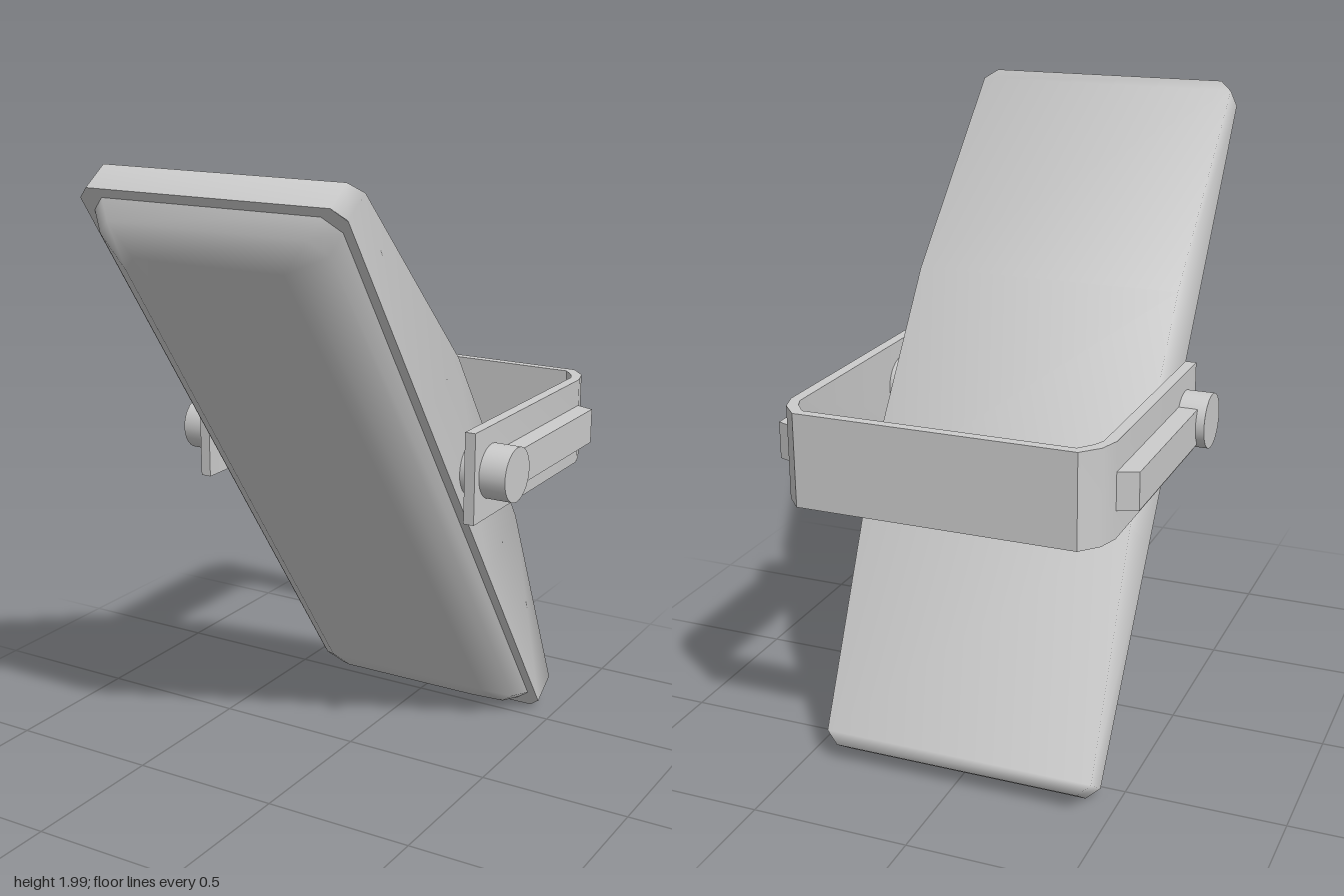
import * as THREE from 'three';
import { toCreasedNormals } from 'three/addons/utils/BufferGeometryUtils.js';

const grey = new THREE.MeshStandardMaterial({ color: 0xcccccc });

function part(name, geometry, parent) {
  const mesh = new THREE.Mesh(geometry, grey);
  mesh.name = name;
  parent.add(mesh);
  return mesh;
}

// Skins a list of equal-length rings (counter-clockwise about the loft axis) with smooth normals.
function loft(rings, { closed = true, startCap = true, endCap = true } = {}) {
  const n = rings[0].length;
  const index = [];
  for (let k = 0; k < rings.length - 1; k++) {
    for (let i = 0; i < (closed ? n : n - 1); i++) {
      const a = k * n + i, b = k * n + (i + 1) % n;
      index.push(a, b, b + n, a, b + n, a + n);
    }
  }
  const last = (rings.length - 1) * n;
  for (let i = 1; i < n - 1; i++) {
    if (startCap) index.push(0, i + 1, i);
    if (endCap) index.push(last, last + i, last + i + 1);
  }
  const g = new THREE.BufferGeometry();
  g.setAttribute('position', new THREE.Float32BufferAttribute(rings.flat(2), 3));
  g.setIndex(index);
  g.computeVertexNormals();
  return g;
}

// Rectangle with cut corners, counter-clockwise.
function cutRect(w, h, c) {
  return [[w, -h + c], [w, h - c], [w - c, h], [-w + c, h],
    [-w, h - c], [-w, -h + c], [-w + c, -h], [w - c, -h]];
}

const toShape = (pts) => new THREE.Shape(pts.map(([x, y]) => new THREE.Vector2(x, y)));

export function createModel() {
  const model = new THREE.Group();
  model.name = 'tiltedPanelOnBracket';

  // Tilted housing
  const housing = new THREE.Group();
  housing.name = 'housing';
  housing.position.set(0, 0.975, 0.095);
  housing.rotation.x = 0.61;
  model.add(housing);

  // Back shell: [height, half width, depth]
  const stations = [[-1.178, 0.40, 0.10], [-1.14, 0.44, 0.107], [-0.377, 0.44, 0.242],
    [0.377, 0.44, 0.242], [1.14, 0.44, 0.107], [1.178, 0.40, 0.10]];
  part('backShell', loft(
    stations.map(([y, w, d]) => [[w, y, 0], [w, y, -d], [-w, y, -d], [-w, y, 0]]),
    { closed: false }), housing);
  part('frontRim', new THREE.ShapeGeometry(toShape(cutRect(0.44, 1.178, 0.04))), housing);

  // Raised front cover: [half width, half height, z]
  const steps = [[0.41, 1.145, 0], [0.38, 1.105, 0.05], [0.30, 1.02, 0.10]];
  part('frontCover', loft(
    steps.map(([w, h, z]) => cutRect(w, h, 0.05).map(([x, y]) => [x, y, z])),
    { startCap: false }), housing);

  // U-shaped bracket, drawn from above with -z as the shape's y
  const outer = [[0.505, -0.12], [0.505, 0.655], [0.485, 0.72], [0.435, 0.775]];
  const inner = [[0.47, -0.12], [0.47, 0.665], [0.455, 0.70], [0.42, 0.743]];
  const mirrored = (pts) => pts.map(([x, y]) => [-x, y]).reverse();
  const outline = [...outer, ...mirrored(outer),
    ...mirrored(inner).reverse(), ...inner.slice().reverse()];
  const band = new THREE.ExtrudeGeometry(toShape(outline), { depth: 0.29, bevelEnabled: false });
  band.rotateX(-Math.PI / 2).translate(0, 0.91, 0);
  part('bracket', toCreasedNormals(band, 0.75), model);

  // Arm ribs and pivot knobs on both sides
  for (const [side, s] of [['left', 1], ['right', -1]]) {
    const rib = new THREE.ExtrudeGeometry(
      toShape([[0.50, 0.055], [0.565, 0.065], [0.565, 0.63], [0.50, 0.655]].map(([x, y]) => [s * x, y])),
      { depth: 0.115, bevelEnabled: false });
    rib.rotateX(-Math.PI / 2).translate(0, 0.995, 0);
    part(side + 'ArmRib', rib, model);

    const knob = new THREE.CylinderGeometry(0.087, 0.087, 0.16, 28);
    knob.rotateZ(Math.PI / 2);
    part(side + 'PivotKnob', knob, model).position.set(s * 0.512, 1.055, 0.005);
  }

  return model;
}
